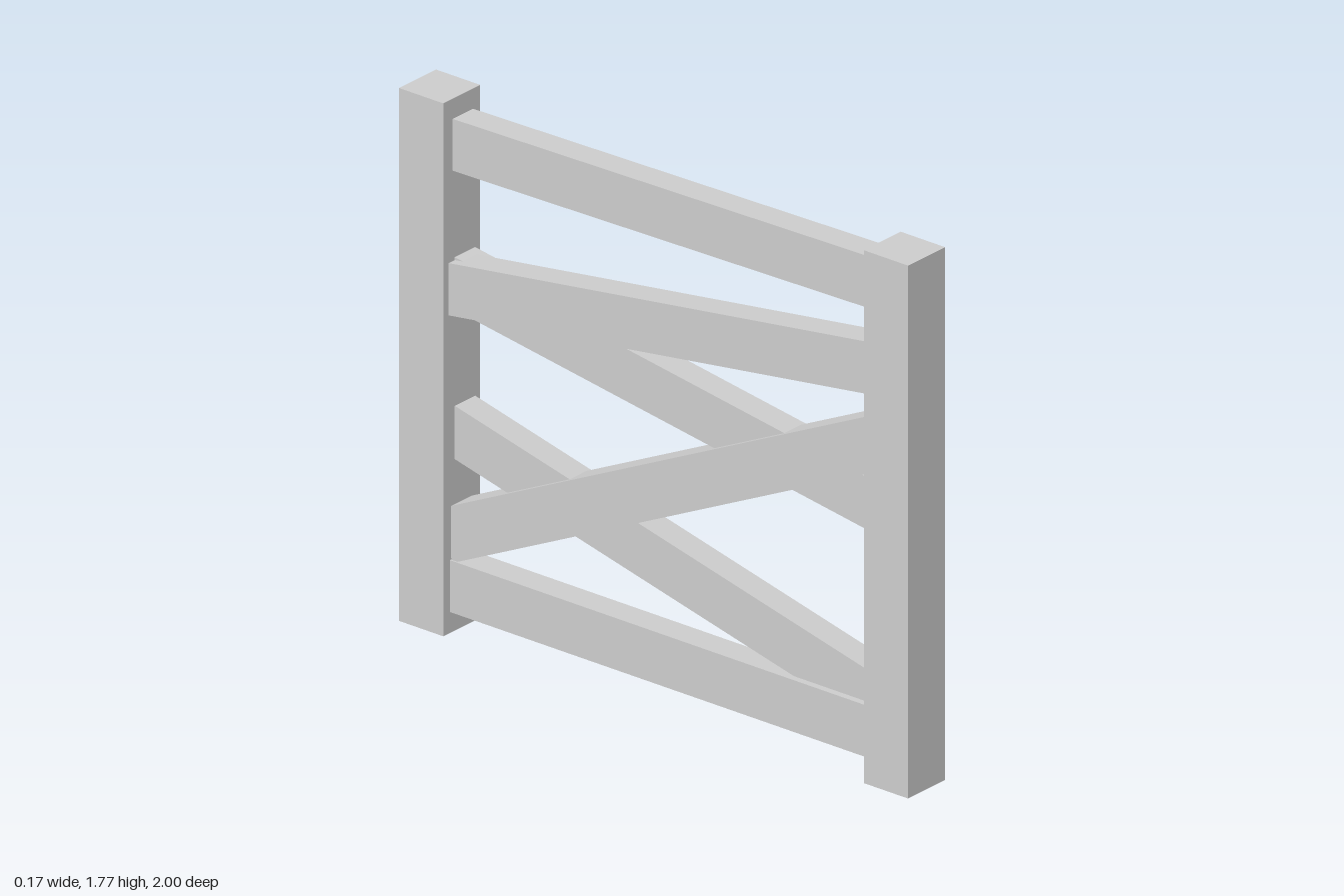
import * as THREE from 'three';

export function createModel() {
  const model = new THREE.Group();
  const material = new THREE.MeshStandardMaterial({ color: 0xcccccc, flatShading: true });

  function addBox(name, size, position, tilt = 0) {
    const mesh = new THREE.Mesh(new THREE.BoxGeometry(...size), material);
    mesh.name = name;
    mesh.position.set(...position);
    mesh.rotation.x = tilt;
    model.add(mesh);
  }

  // Two square posts, front and back
  const postSize = 0.174, postHeight = 1.77;
  for (const [name, side] of [['frontPost', 1], ['backPost', -1]]) {
    addBox(name, [postSize, postHeight, postSize], [0, postHeight / 2, side * (1 - postSize / 2)]);
  }

  // Planks between the posts: centre height at the front post, at the back post, and x offset
  const inner = 1 - postSize;
  const planks = [
    ['topRail', 1.643, 1.617, 0.005],
    ['upperRail', 1.369, 1.144, -0.014],
    ['middleRail', 0.895, 1.153, 0.015],
    ['diagonalBrace', 1.113, 0.325, -0.002],
    ['lowerRail', 0.252, 0.658, 0.015],
    ['bottomRail', 0.156, 0.156, -0.008],
  ];
  for (const [name, yFront, yBack, x] of planks) {
    const tilt = -Math.atan2(yFront - yBack, 2 * inner);
    const length = name === 'diagonalBrace' ? 1.896 : 1.8 / Math.cos(tilt);
    addBox(name, [0.096, 0.172, length], [x, (yFront + yBack) / 2, 0], tilt);
  }
  return model;
}
